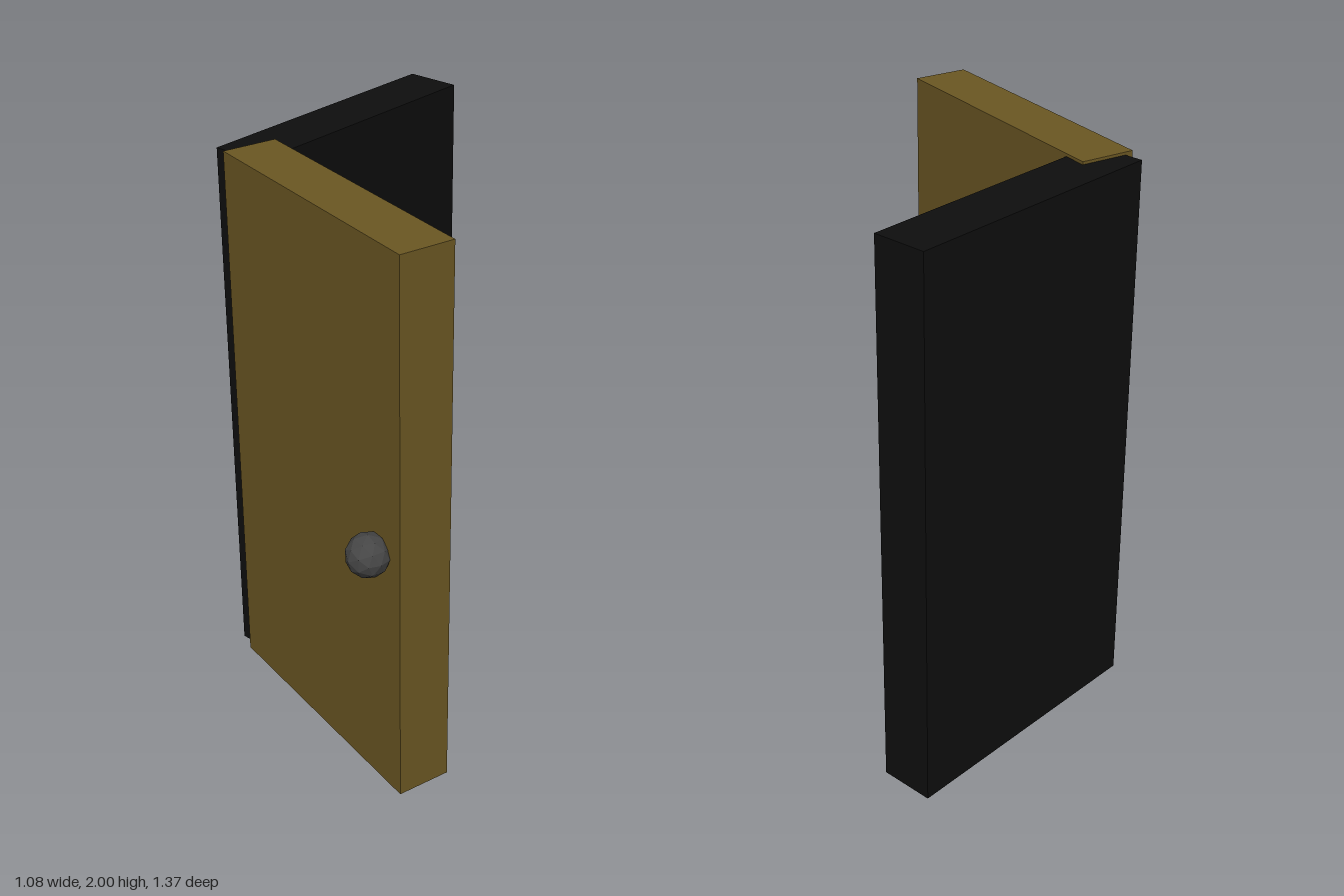
import * as THREE from 'three';

export function createModel() {
  const model = new THREE.Group();
  const wood = new THREE.MeshStandardMaterial({ color: 0x6b5723 });
  wood.name = 'brown wood';
  const black = new THREE.MeshStandardMaterial({ color: 0x0e0e0e });
  black.name = 'black';
  const grey = new THREE.MeshStandardMaterial({ color: 0x464646 });
  grey.name = 'dark grey';
  grey.flatShading = true;

  const add = (parent, name, geometry, material, x, y, z) => {
    const mesh = new THREE.Mesh(geometry, material);
    mesh.name = name;
    mesh.position.set(x, y, z);
    parent.add(mesh);
  };

  // Fixed side wall, slightly shorter than the door
  add(model, 'sideWall', new THREE.BoxGeometry(0.196, 1.98, 1.0), black, -0.445, 1, -0.188);

  // Door swung 15 degrees, carrying its knob
  const door = new THREE.Group();
  door.name = 'door';
  door.position.set(0.027, 0, 0.375);
  door.rotation.y = -Math.PI / 12;
  add(door, 'doorPanel', new THREE.BoxGeometry(1.006, 2, 0.196), wood, 0, 1, 0);
  add(door, 'knob', new THREE.IcosahedronGeometry(0.076, 1), grey, 0.384, 0.93, 0.139);
  model.add(door);

  return model;
}
